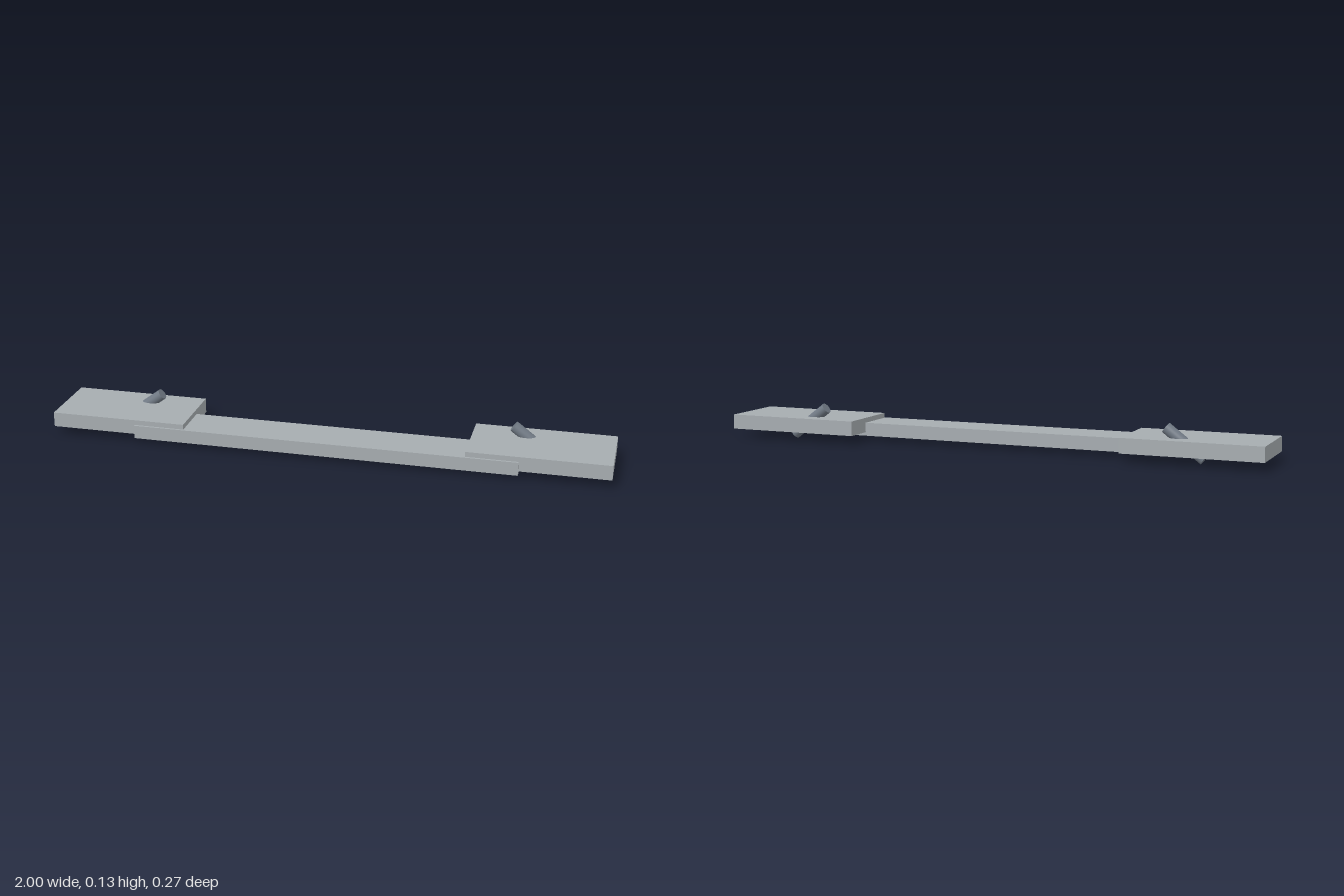
import * as THREE from 'three';

export function createModel() {
  const group = new THREE.Group();
  const plateGrey = new THREE.MeshStandardMaterial({ name: 'plateGrey', color: 0xa6acb0 });
  const pinGrey = new THREE.MeshStandardMaterial({ name: 'pinGrey', color: 0x707984 });

  // Box given by its lower and upper corners
  function slab(name, min, max) {
    const size = max.map((v, i) => v - min[i]);
    const mesh = new THREE.Mesh(new THREE.BoxGeometry(...size), plateGrey);
    mesh.name = name;
    mesh.position.set(...max.map((v, i) => (v + min[i]) / 2));
    group.add(mesh);
  }

  // Long connecting bar, set forward and slightly lower than the end plates
  slab('connectingBar', [-0.69, 0.017, -0.025], [0.685, 0.065, 0.134]);

  // End plates
  slab('leftPlate', [0.502, 0.03, -0.133], [1, 0.083, 0.126]);
  slab('rightPlate', [-1, 0.03, -0.133], [-0.507, 0.083, 0.126]);

  // Slanted pins through the plates, tops leaning toward the middle
  const tilt = THREE.MathUtils.degToRad(53);
  for (const [name, x, side] of [['leftPin', 0.711, 1], ['rightPin', -0.716, -1]]) {
    const pin = new THREE.Mesh(new THREE.CylinderGeometry(0.02, 0.02, 0.167, 32), pinGrey);
    pin.name = name;
    pin.position.set(x, 0.066, -0.061);
    pin.rotation.z = side * tilt;
    group.add(pin);
  }

  return group;
}
